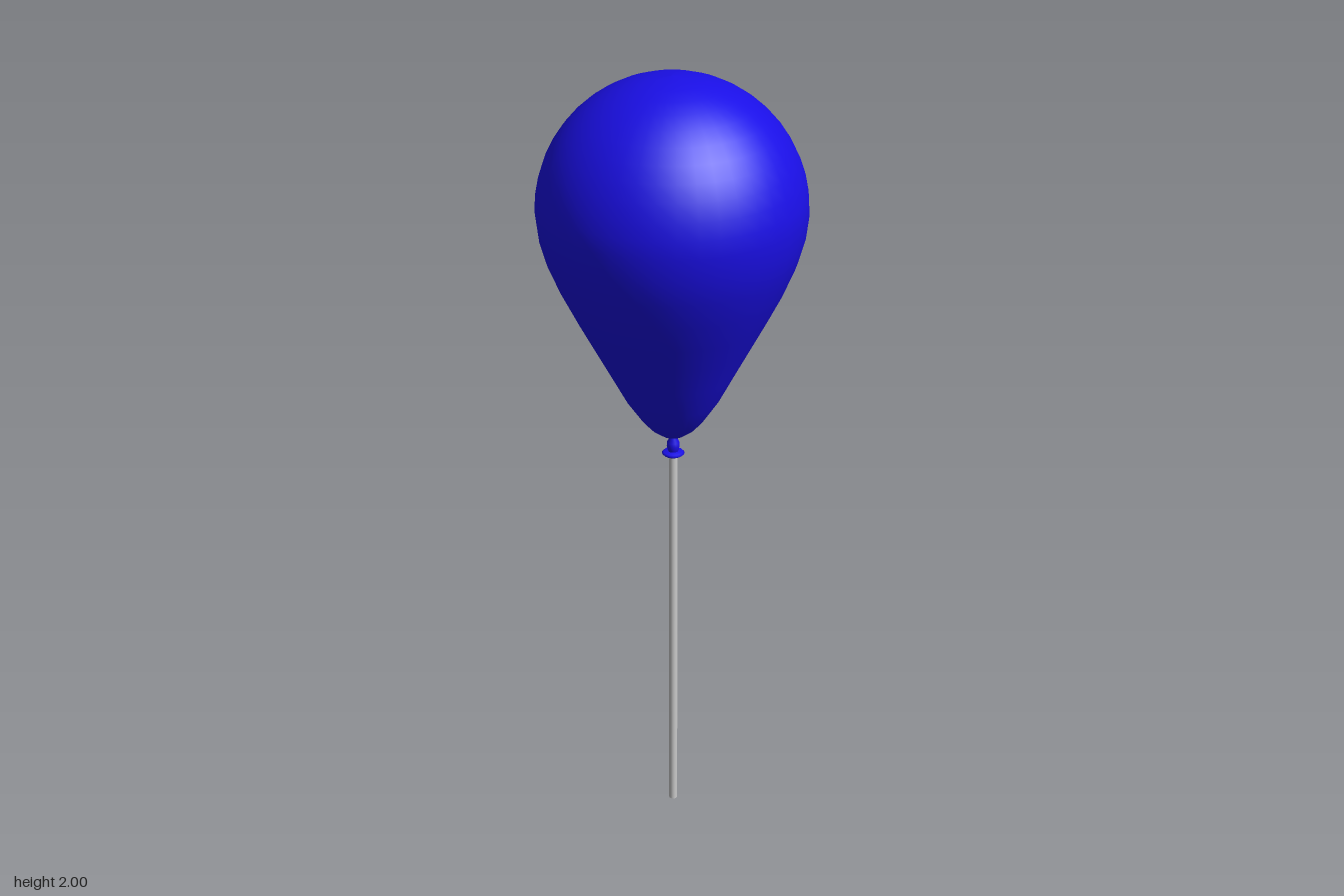
import * as THREE from 'three';

const AXIS = 0.01; // small sideways offset of the stick and knot

function lathe(name, points, segments, material) {
  const profile = points.map(([r, y]) => new THREE.Vector2(r, y));
  const mesh = new THREE.Mesh(new THREE.LatheGeometry(profile, segments), material);
  mesh.name = name;
  return mesh;
}

export function createModel() {
  const model = new THREE.Group();
  model.name = 'balloonOnStick';
  const blue = new THREE.MeshStandardMaterial({ color: 0x1a0fe6 });
  const rubber = new THREE.MeshStandardMaterial({ color: 0x1a0fe6, side: THREE.DoubleSide });
  const grey = new THREE.MeshStandardMaterial({ color: 0xcccccc });

  // Balloon: tapered lower half, then a round dome
  const points = [
    [0, 1.09], [0.03, 1.103], [0.055, 1.121], [0.077, 1.145], [0.115, 1.2],
    [0.155, 1.275], [0.195, 1.35], [0.232, 1.42], [0.267, 1.49], [0.296, 1.56], [0.313, 1.62],
  ];
  for (let i = 0; i <= 12; i++) {
    const a = (i / 12) * Math.PI / 2;
    points.push([i === 12 ? 0 : 0.32 * Math.cos(a), 1.68 + 0.32 * Math.sin(a)]);
  }
  const balloon = lathe('balloon', points, 40, blue);

  // Lean the tapered end towards the stick
  const pos = balloon.geometry.attributes.position;
  for (let i = 0; i < pos.count; i++) {
    const t = Math.max(0, (1.5 - pos.getY(i)) / 0.41);
    pos.setX(i, pos.getX(i) + AXIS * t * t);
    pos.setZ(i, pos.getZ(i) + AXIS * t * t);
  }
  model.add(balloon);

  // Knot with a flared lip
  const knot = lathe('knot', [
    [0.011, 1.052], [0.014, 1.06], [0.016, 1.07], [0.015, 1.08], [0.01, 1.09], [0.009, 1.1],
  ], 20, rubber);
  const lip = lathe('lip', [
    [0, 1.046], [0.024, 1.046], [0.028, 1.05], [0.024, 1.054], [0.011, 1.056],
  ], 20, rubber);

  // Stick
  const stick = new THREE.Mesh(new THREE.CylinderGeometry(0.011, 0.011, 1.06, 12), grey);
  stick.name = 'stick';
  stick.position.y = 0.53;

  for (const part of [knot, lip, stick]) {
    part.position.x = AXIS;
    part.position.z = AXIS;
    model.add(part);
  }
  return model;
}
